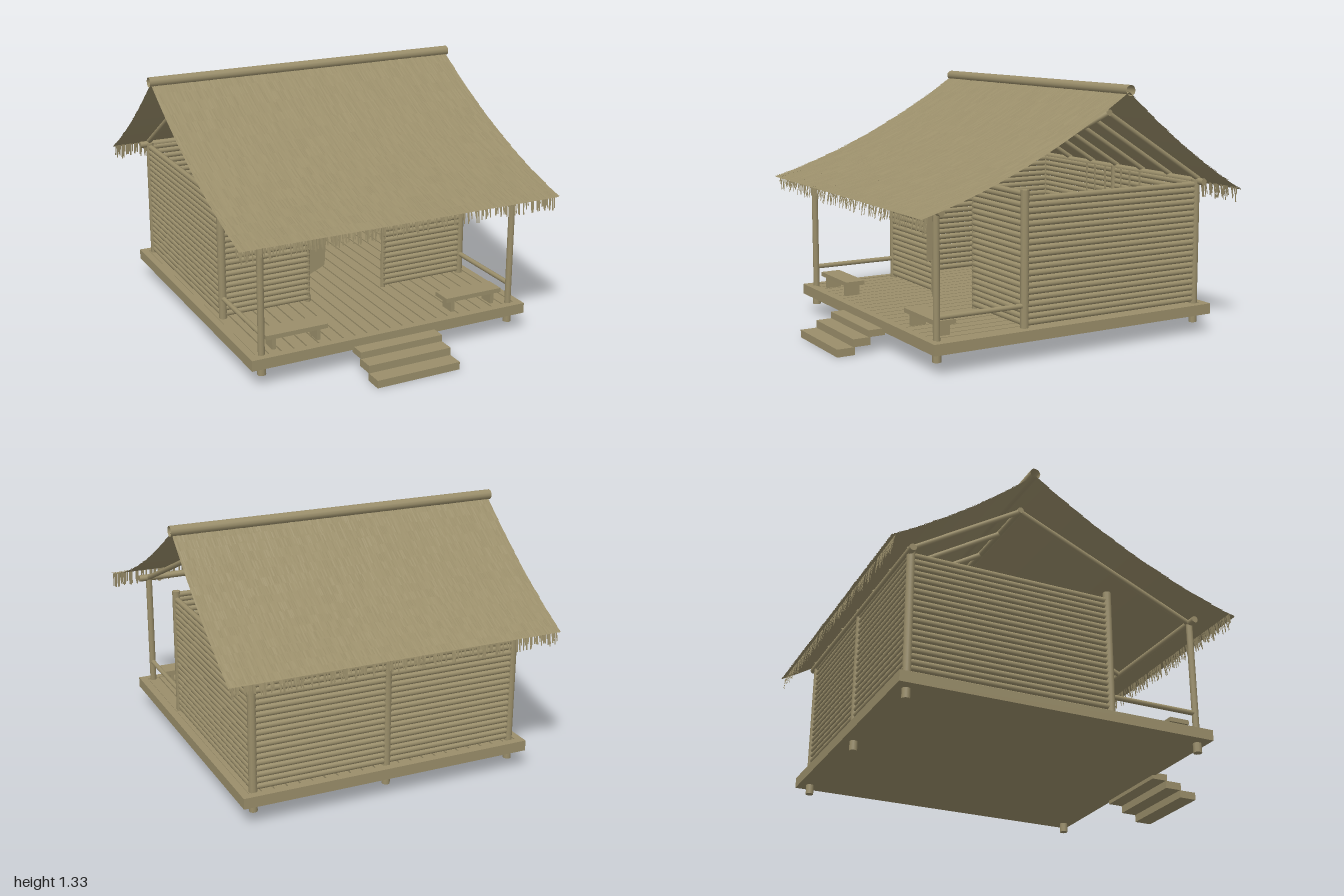
import * as THREE from 'three';

const straw = new THREE.MeshStandardMaterial({ color: 0x9a8e6a, side: THREE.DoubleSide });
straw.name = 'dry straw';

// small seeded generator for the uneven thatch
let seed = 7;
const rnd = () => {
  seed = (seed * 16807) % 2147483647;
  return seed / 2147483647;
};

const RIDGE = { z: -0.265, y: 1.29 };
const HALF = 0.875;

export function createModel() {
  seed = 7;
  const hut = new THREE.Group();
  hut.name = 'thatchedHut';

  const add = (name, geo, x = 0, y = 0, z = 0) => {
    const m = new THREE.Mesh(geo, straw);
    m.name = name;
    m.position.set(x, y, z);
    hut.add(m);
    return m;
  };
  const box = (name, x0, x1, y0, y1, z0, z1) =>
    add(name, new THREE.BoxGeometry(x1 - x0, y1 - y0, z1 - z0), (x0 + x1) / 2, (y0 + y1) / 2, (z0 + z1) / 2);
  // round pole between two points
  const pole = (name, a, b, r, sides = 10, open = false) => {
    const p = new THREE.Vector3(...a), q = new THREE.Vector3(...b);
    const m = add(name, new THREE.CylinderGeometry(r, r, p.distanceTo(q), sides, 1, open));
    m.position.copy(p).add(q).multiplyScalar(0.5);
    m.quaternion.setFromUnitVectors(new THREE.Vector3(0, 1, 0), q.sub(p).normalize());
    return m;
  };

  // deck: slab, rim and planks running front to back
  box('deckSlab', -0.77, 0.77, 0.1, 0.143, -0.89, 0.75);
  for (const s of [-1, 1]) box('deckSideRim', s * 0.755 - 0.02, s * 0.755 + 0.02, 0.1, 0.155, -0.895, 0.755);
  box('deckFrontRim', -0.735, 0.735, 0.1, 0.155, 0.715, 0.755);
  box('deckBackRim', -0.735, 0.735, 0.1, 0.155, -0.895, -0.855);
  const planks = 22, pw = 1.47 / planks;
  for (let i = 0; i < planks; i++) {
    const x = -0.735 + i * pw;
    box('deckPlank', x + 0.004, x + pw - 0.004, 0.14, 0.152, -0.855, 0.715);
  }

  // steps
  box('lowerStep', -0.23, 0.23, 0, 0.04, 0.905, 1);
  box('middleStep', -0.23, 0.23, 0.04, 0.08, 0.82, 0.912);
  box('upperStep', -0.23, 0.23, 0.08, 0.115, 0.74, 0.828);

  // posts, rails and benches on both sides
  for (const s of [-1, 1]) {
    const x = s * 0.705;
    pole('frontPost', [x, 0.05, 0.705], [x, 0.765, 0.705], 0.017);
    pole('frontFoot', [x, 0.05, 0.705], [x, 0.12, 0.705], 0.022);
    pole('wallPost', [x, 0.15, 0.22], [x, 0.83, 0.22], 0.021);
    pole('backPost', [x, 0.05, -0.835], [x, 0.81, -0.835], 0.021);
    pole('doorPost', [s * 0.225, 0.15, 0.22], [s * 0.225, 0.8, 0.22], 0.013);
    pole('sideRail', [x, 0.262, 0.7], [x, 0.262, 0.22], 0.013);
    const seat = s * 0.505;
    box('benchSeat', seat - 0.165, seat + 0.165, 0.212, 0.235, 0.58, 0.688);
    for (const d of [-0.12, 0.12])
      box('benchLeg', seat + d - 0.01, seat + d + 0.01, 0.152, 0.212, 0.595, 0.677);
  }
  pole('backCentrePost', [0, 0.05, -0.835], [0, 0.81, -0.835], 0.021);

  // walls of stacked horizontal canes
  const canes = 21, pitch = 0.64 / canes;
  for (let i = 0; i < canes; i++) {
    const y = 0.16 + (i + 0.5) * pitch, r = 0.0152;
    for (const s of [-1, 1]) {
      pole('sideWallCane', [s * 0.705, y, 0.21], [s * 0.705, y, -0.83], r, 8);
      pole('frontWallCane', [s * 0.7, y, 0.22], [s * 0.22, y, 0.22], r, 8);
    }
    pole('backWallCane', [-0.7, y, -0.835], [0.7, y, -0.835], r, 8);
  }
  // thin upright ties inside the back wall
  for (const x of [-0.25, -0.17, -0.07, 0.08, 0.16, 0.25])
    box('wallTie', x - 0.004, x + 0.004, 0.16, 0.8, -0.822, -0.815);
  pole('doorHeader', [-0.7, 0.81, 0.22], [0.7, 0.81, 0.22], 0.015);

  // curtain gathered to one side of the doorway
  const cloth = new THREE.Shape();
  cloth.moveTo(-0.23, 0.85);
  cloth.lineTo(-0.08, 0.85);
  cloth.quadraticCurveTo(-0.135, 0.6, -0.145, 0.36);
  cloth.lineTo(-0.17, 0.345);
  cloth.lineTo(-0.23, 0.32);
  add('curtain', new THREE.ShapeGeometry(cloth), 0, 0, 0.258);

  // roof frame
  pole('frontBeam', [-0.76, 0.765, 0.705], [0.76, 0.765, 0.705], 0.018);
  pole('backBeam', [-0.76, 0.8, -0.845], [0.76, 0.8, -0.845], 0.018);
  pole('ridgeBeam', [-0.72, 1.18, -0.265], [0.72, 1.18, -0.265], 0.016);
  for (const x of [-0.705, 0, 0.705])
    pole('frontRafter', [x, 0.762, 0.71], [x, 1.178, -0.265], 0.014);
  for (let i = -3; i <= 3; i++)
    pole('backRafter', [i * 0.235, 0.81, -0.855], [i * 0.235, 1.178, -0.265], 0.014);

  // thatch: a sagging sheet, courses of straw strands and a hanging fringe
  const slope = (side, eaveZ, eaveY, sag) => {
    const dir = Math.sign(eaveZ - RIDGE.z);
    const at = (t) => [
      RIDGE.y + (eaveY - RIDGE.y) * t - sag * 4 * t * (1 - t),
      RIDGE.z + (eaveZ - RIDGE.z) * t,
    ];
    const sheet = new THREE.PlaneGeometry(2 * HALF, 1, 1, 20);
    const p = sheet.attributes.position;
    for (let i = 0; i < p.count; i++) {
      const [y, z] = at(0.5 - p.getY(i));
      p.setXYZ(i, p.getX(i), y, z);
    }
    if (dir < 0) sheet.index.array.reverse();
    sheet.computeVertexNormals();
    add(side + 'RoofSheet', sheet);

    const build = (name, verts) => {
      const g = new THREE.BufferGeometry();
      g.setAttribute('position', new THREE.Float32BufferAttribute(verts, 3));
      g.computeVertexNormals();
      add(name, g);
    };
    // one flat strand, slightly twisted so that neighbours shade differently
    const strand = (out, x, w, [y0, z0], [y1, z1], twist) => {
      const a = [x - w, y0, z0], b = [x + w, y0 + twist, z0];
      const c = [x + w * 0.8, y1 + twist, z1], d = [x - w * 0.8, y1, z1];
      const quad = dir > 0 ? [a, d, c, a, c, b] : [a, c, d, a, b, c];
      out.push(...quad.flat());
    };
    const courses = 18, strands = 200, straws = [], fringe = [];
    for (let k = 0; k < courses; k++) {
      for (let i = 0; i < strands; i++) {
        const x = -HALF + ((i + 0.5) / strands) * 2 * HALF + (rnd() - 0.5) * 0.004;
        const t0 = k / courses, t1 = Math.min(1, t0 + (0.85 + rnd() * 0.45) / courses);
        const top = at(t0), tip = at(t1);
        top[0] += 0.001;
        tip[0] += 0.004 + rnd() * 0.003;
        strand(straws, x, 0.0032, top, tip, (rnd() - 0.5) * 0.003);
      }
    }
    for (let i = 0; i < 260; i++) {
      const x = -HALF + rnd() * 2 * HALF;
      const [y, z] = at(0.97);
      const drop = 0.035 + rnd() * 0.05;
      strand(fringe, x, 0.004, [y, z], [y - drop, z + dir * (0.003 + rnd() * 0.012)], 0);
    }
    build(side + 'Thatch', straws);
    build(side + 'Fringe', fringe);
  };
  slope('front', 0.87, 0.762, 0.055);
  slope('back', -0.995, 0.765, 0.03);

  // hollow cane covering the ridge
  pole('ridgeCap', [-0.885, 1.298, -0.267], [0.885, 1.298, -0.267], 0.027, 12, true);

  return hut;
}
